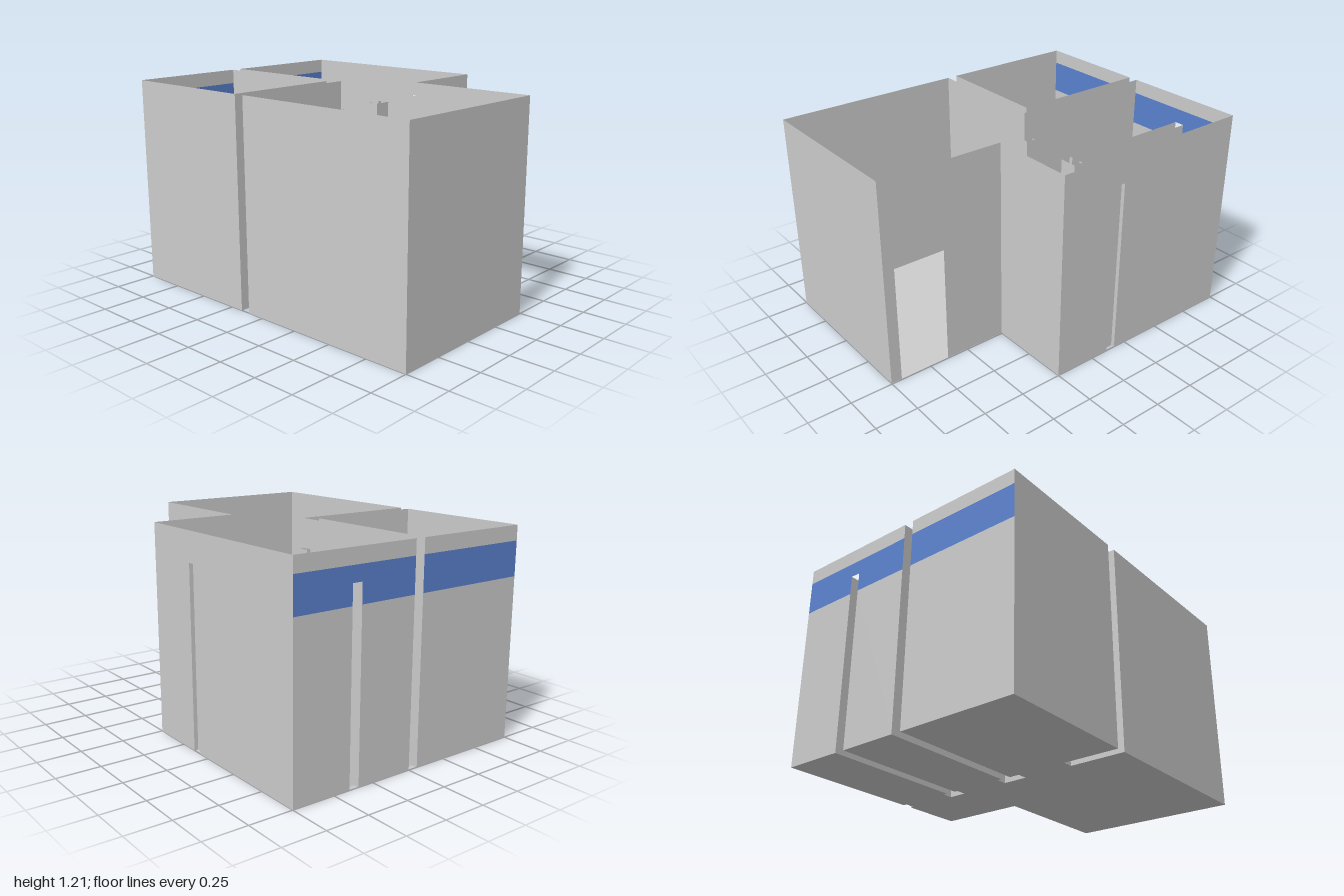
import * as THREE from 'three';

const H = 1.21;        // full wall height
const LOW = 1.04;      // top of the partition piers
const DOOR = 0.81;     // door height
const BAND = [0.93, 1.125]; // blue band on the back walls

const grey = new THREE.MeshStandardMaterial({ color: 0xcccccc, side: THREE.DoubleSide });
grey.name = 'wall grey';
const blue = new THREE.MeshStandardMaterial({ color: 0x5b82cf, side: THREE.DoubleSide });
blue.name = 'band blue';

// Floor outline as [x, z]
const outline = [
  [-0.75, -1], [-0.058, -1], [-0.058, -0.17], [-0.12, -0.17], [-0.12, -0.11],
  [0.025, -0.11], [0.025, -0.17], [0, -0.17], [0, -1], [0.343, -1],
  [0.343, -0.17], [0.322, -0.17], [0.322, -0.11], [0.427, -0.11], [0.427, -0.17],
  [0.402, -0.17], [0.402, -1], [0.75, -1], [0.75, -0.17], [0.727, -0.17],
  [0.727, -0.11], [0.75, -0.11], [0.75, 0.25], [0.244, 0.25], [0.244, 1],
  [-0.75, 1], [-0.75, -0.11], [-0.42, -0.11], [-0.42, -0.17], [-0.75, -0.17],
];

export function createModel() {
  const group = new THREE.Group();

  // Upright sheet from (x0, z0) to (x1, z1), between heights y0 and y1
  function wall(name, [x0, z0], [x1, z1], y0 = 0, y1 = H, material = grey) {
    const geo = new THREE.PlaneGeometry(Math.hypot(x1 - x0, z1 - z0), y1 - y0);
    const mesh = new THREE.Mesh(geo, material);
    mesh.position.set((x0 + x1) / 2, (y0 + y1) / 2, (z0 + z1) / 2);
    mesh.rotation.y = -Math.atan2(z1 - z0, x1 - x0);
    mesh.name = name;
    group.add(mesh);
  }

  // Connected sheets along a list of points
  function run(name, points, y0, y1) {
    for (let i = 1; i < points.length; i++) wall(name, points[i - 1], points[i], y0, y1);
  }

  // Level sheet from an outline
  function sheet(name, points, y) {
    const shape = new THREE.Shape(points.map(([x, z]) => new THREE.Vector2(x, -z)));
    const mesh = new THREE.Mesh(new THREE.ShapeGeometry(shape).rotateX(-Math.PI / 2), grey);
    mesh.position.y = y;
    mesh.name = name;
    group.add(mesh);
  }

  sheet('floor', outline, 0);

  // Back walls: grey below, blue band, grey above
  for (const [x0, x1] of [[-0.75, -0.058], [0, 0.343], [0.402, 0.75]]) {
    wall('backWallLower', [x0, -1], [x1, -1], 0, BAND[0]);
    wall('backBand', [x0, -1], [x1, -1], BAND[0], BAND[1], blue);
    wall('backWallUpper', [x0, -1], [x1, -1], BAND[1], H);
  }
  // Bridge over the slot in the back wall
  wall('backBandBridge', [0.343, -1], [0.402, -1], LOW, BAND[1], blue);
  wall('backBridge', [0.343, -1], [0.402, -1], BAND[1], H);

  // Closed back room
  wall('backRoomOuterWall', [-0.75, -1], [-0.75, -0.17]);
  wall('backRoomInnerWall', [-0.058, -1], [-0.058, -0.17]);

  // Both faces of the wall with the inner doorway
  for (const [z, end] of [[-0.17, -0.058], [-0.11, 0]]) {
    wall('doorWallSide', [-0.75, z], [-0.42, z]);
    wall('doorWallSide', [-0.12, z], [end, z]);
    wall('doorWallLintel', [-0.42, z], [-0.12, z], DOOR, H);
  }
  for (const x of [-0.42, -0.12]) wall('doorJamb', [x, -0.17], [x, -0.11], 0, DOOR);
  sheet('doorHead', [[-0.42, -0.17], [-0.12, -0.17], [-0.12, -0.11], [-0.42, -0.11]], DOOR);

  // Wall beside the two bays, with its low pier
  wall('bayWall', [0, -1], [0, -0.17]);
  wall('bayWallBridge', [0, -0.17], [0, -0.11], LOW, H);
  run('leftPier', [[0, -0.17], [0.025, -0.17], [0.025, -0.11], [0, -0.11]], 0, LOW);

  // Low T-shaped partition between the bays
  run('partition', outline.slice(9, 17), 0, LOW);

  // Right outer wall with its slot
  wall('rightWall', [0.75, -1], [0.75, -0.17]);
  wall('rightWallBridge', [0.75, -0.17], [0.75, -0.11], LOW, H);
  run('rightPier', outline.slice(18, 22), 0, LOW);

  // Main room
  run('mainRoomWall', [[0.75, -0.11], [0.75, 0.25], [0.244, 0.25], [0.244, 0.63]], 0, H);
  wall('entranceLintel', [0.244, 0.63], [0.244, 0.935], DOOR, H);
  run('mainRoomWall', [[0.244, 0.935], [0.244, 1], [-0.75, 1], [-0.75, -0.11]], 0, H);

  return group;
}
